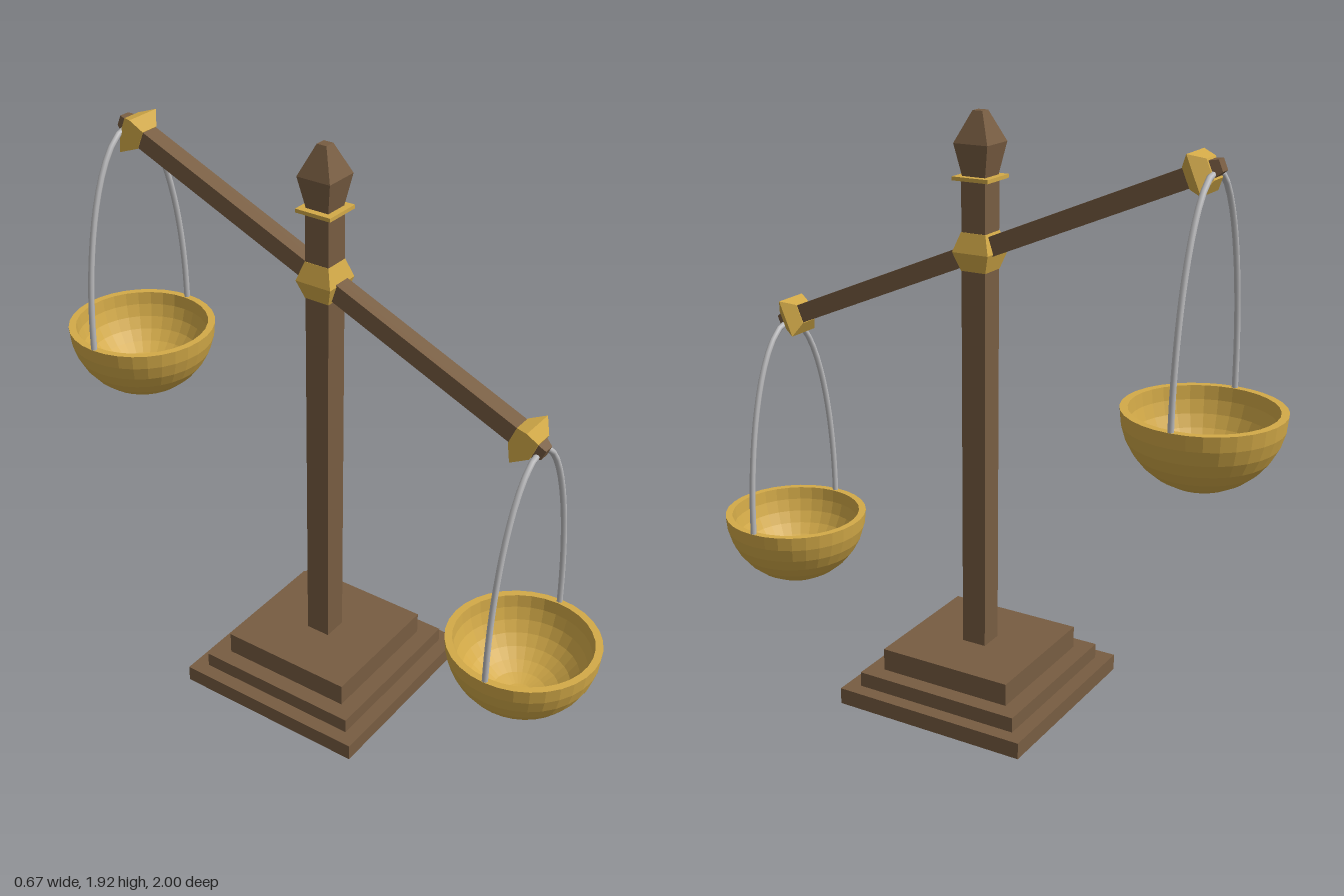
import * as THREE from 'three';

const wood = new THREE.MeshStandardMaterial({ color: 0x785d42, flatShading: true });
wood.name = 'wood';
const brass = new THREE.MeshStandardMaterial({ color: 0xd3aa48, flatShading: true });
brass.name = 'brass';
const steel = new THREE.MeshStandardMaterial({ color: 0xbcbcbe });
steel.name = 'steel';

function add(parent, name, geometry, material, x = 0, y = 0, z = 0) {
  const mesh = new THREE.Mesh(geometry, material);
  mesh.name = name;
  mesh.position.set(x, y, z);
  parent.add(mesh);
  return mesh;
}

// Square section swept along y: profile of [half width, height]
function squareLathe(profile) {
  const points = profile.map(([h, y]) => new THREE.Vector2(h * Math.SQRT2, y));
  return new THREE.LatheGeometry(points, 4).rotateY(Math.PI / 4);
}

// Hollow hemispherical bowl, rim at y = 0
function bowlGeometry(outer, inner, rings = 8) {
  const points = [];
  for (let i = 0; i <= rings; i++) {
    const a = (i / rings) * Math.PI / 2;
    points.push(new THREE.Vector2(outer * Math.sin(a), -outer * Math.cos(a)));
  }
  for (let i = rings; i >= 0; i--) {
    const a = (i / rings) * Math.PI / 2;
    points.push(new THREE.Vector2(inner * Math.sin(a), -inner * Math.cos(a)));
  }
  return new THREE.LatheGeometry(points, 32);
}

export function createModel() {
  const model = new THREE.Group();
  model.name = 'balanceScale';

  // Stepped base
  const steps = [[0.335, 0, 0.055], [0.287, 0.055, 0.105], [0.231, 0.105, 0.18]];
  steps.forEach(([h, y0, y1], i) =>
    add(model, `baseStep${i + 1}`, new THREE.BoxGeometry(2 * h, y1 - y0, 2 * h), wood, 0, (y0 + y1) / 2, 0));

  // Post, trim plate, finial and centre collar
  add(model, 'post', new THREE.BoxGeometry(0.084, 1.56, 0.084), wood, 0, 0.95, 0);
  add(model, 'trimPlate', new THREE.BoxGeometry(0.125, 0.012, 0.125), brass, 0, 1.725, 0);
  add(model, 'finial', squareLathe([[0, 1.73], [0.04, 1.73], [0.059, 1.83], [0.017, 1.925], [0, 1.925]]), wood);
  add(model, 'centreCollar',
    squareLathe([[0, -0.06], [0.043, -0.06], [0.063, 0], [0.043, 0.06], [0, 0.06]]), brass, 0, 1.5, 0);

  // Tilted beam: local y runs along it, uphill towards the back
  const beam = new THREE.Group();
  beam.name = 'beam';
  beam.position.y = 1.5;
  beam.rotation.x = -(Math.PI / 2 - Math.atan2(0.64, 1.5));
  model.add(beam);
  add(beam, 'beamBar', new THREE.BoxGeometry(0.06, 1.6, 0.06), wood);
  for (const side of [-1, 1]) {
    const end = new THREE.Group();
    end.name = side > 0 ? 'upperEnd' : 'lowerEnd';
    if (side < 0) end.rotation.x = Math.PI;
    beam.add(end);
    add(end, 'endCollar',
      squareLathe([[0, 0.738], [0.032, 0.738], [0.062, 0.777], [0.032, 0.816], [0, 0.816]]), brass);
    add(end, 'beamTip', squareLathe([[0, 0.8], [0.03, 0.8], [0.018, 0.843], [0, 0.843]]), wood);
  }

  // Hanging pans: wire arch and bowl
  const arch = [];
  for (let i = 0; i <= 24; i++) {
    const a = (i / 24) * Math.PI;
    arch.push(new THREE.Vector3(0.235 * Math.cos(a), 0.69 * Math.sin(a), 0));
  }
  const wireGeometry = new THREE.TubeGeometry(new THREE.CatmullRomCurve3(arch), 32, 0.01, 8);
  const panGeometry = bowlGeometry(0.245, 0.221);
  for (const [name, rimY, z] of [['lowerPan', 0.477, 0.755], ['upperPan', 1.122, -0.755]]) {
    const pan = new THREE.Group();
    pan.name = name;
    pan.position.set(0, rimY, z);
    model.add(pan);
    add(pan, 'bowl', panGeometry, brass);
    add(pan, 'wire', wireGeometry, steel);
  }
  return model;
}
